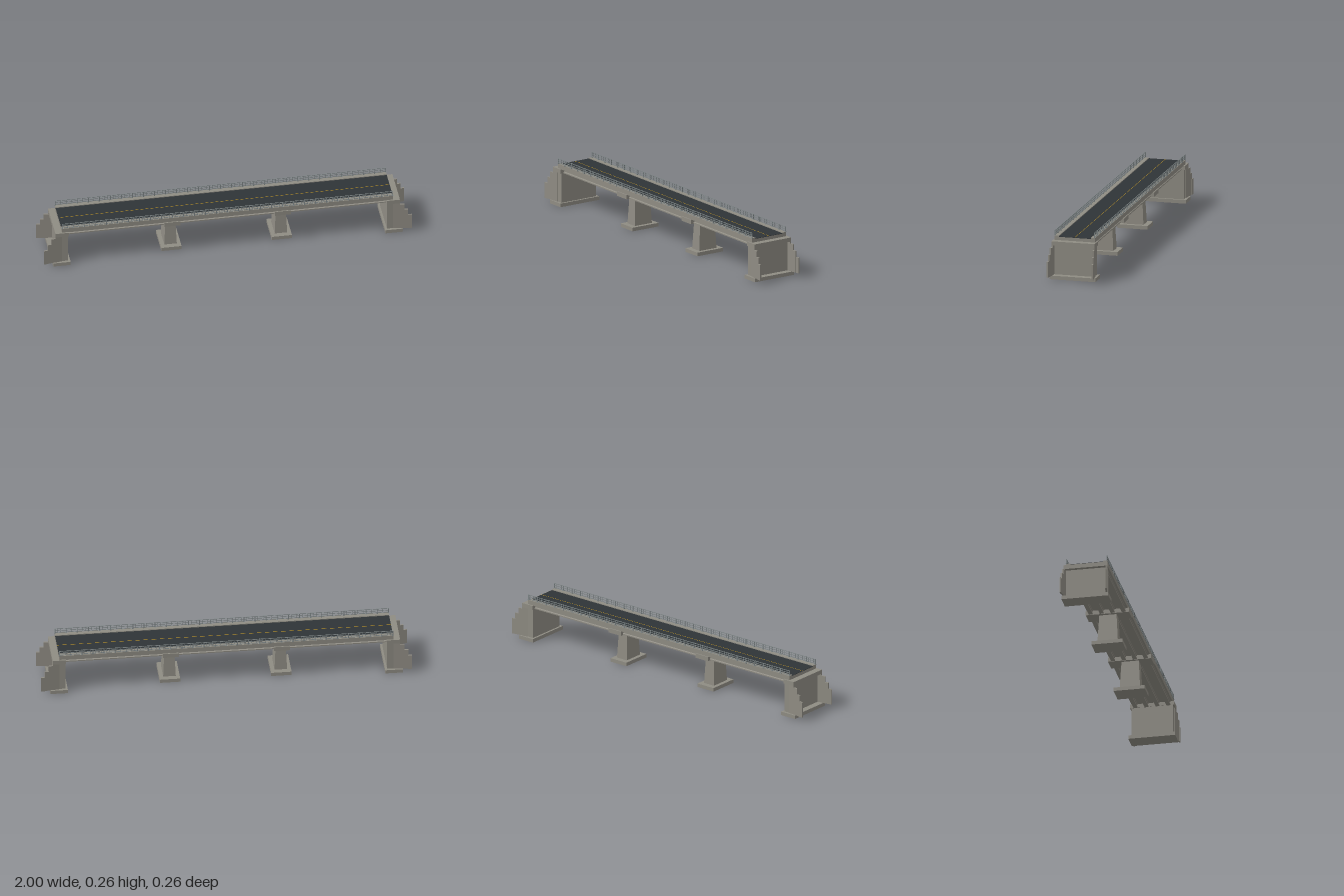
import * as THREE from 'three';

const material = (color) => new THREE.MeshStandardMaterial({ color, flatShading: true });

export function createModel() {
  const bridge = new THREE.Group();
  bridge.name = 'bridge';
  const concrete = material(0x8f8c83);
  const asphalt = material(0x2f3437);
  const steel = material(0x7c8485);
  const paint = material(0xd0a020);

  // Box given by its lower and upper bounds
  function box(name, x0, x1, y0, y1, z0, z1, mat = concrete, parent = bridge) {
    const mesh = new THREE.Mesh(new THREE.BoxGeometry(x1 - x0, y1 - y0, z1 - z0), mat);
    mesh.position.set((x0 + x1) / 2, (y0 + y1) / 2, (z0 + z1) / 2);
    mesh.name = name;
    parent.add(mesh);
    return mesh;
  }

  // Deck, road surface and centre line
  box('deckSlab', -0.9, 0.9, 0.205, 0.224, -0.112, 0.112);
  box('roadSurface', -0.9, 0.9, 0.224, 0.226, -0.089, 0.089, asphalt);
  box('centreLine', -0.9, 0.9, 0.226, 0.2265, -0.001, 0.001, paint);

  // Flanged girders running between the abutments
  const flange = 0.011, web = 0.005, low = 0.183, high = 0.205;
  const section = new THREE.Shape([
    [-flange, low], [flange, low], [flange, low + 0.006], [web, low + 0.009],
    [web, high - 0.006], [flange, high - 0.003], [flange, high],
    [-flange, high], [-flange, high - 0.003], [-web, high - 0.006],
    [-web, low + 0.009], [-flange, low + 0.006],
  ].map(([x, y]) => new THREE.Vector2(x, y)));
  for (const z of [-0.09, -0.03, 0.03, 0.09]) {
    const geometry = new THREE.ExtrudeGeometry(section, { depth: 1.74, bevelEnabled: false });
    geometry.translate(0, 0, -0.87).rotateY(Math.PI / 2);
    const girder = new THREE.Mesh(geometry, concrete);
    girder.position.z = z;
    girder.name = 'girder';
    bridge.add(girder);
  }

  // Kerbs and railings on both sides
  for (const side of [-1, 1]) {
    const z = side * 0.11;
    box('kerb', -0.9, 0.9, 0.224, 0.23, side * 0.1005 - 0.0115, side * 0.1005 + 0.0115);
    const railing = new THREE.Group();
    railing.name = 'railing';
    bridge.add(railing);
    for (const y of [0.235, 0.247, 0.2585]) {
      box('rail', -0.9, 0.9, y - 0.0012, y + 0.0012, z - 0.0015, z + 0.0015, steel, railing);
    }
    for (let i = 0; i <= 120; i++) {
      const x = -0.898 + (i * 1.796) / 120;
      if (i % 4 === 0) {
        box('post', x - 0.002, x + 0.002, 0.23, 0.26, z - 0.002, z + 0.002, steel, railing);
        box('postBase', x - 0.004, x + 0.004, 0.23, 0.2315, z - 0.004, z + 0.004, steel, railing);
      } else {
        box('picket', x - 0.0007, x + 0.0007, 0.235, 0.2585, z - 0.0007, z + 0.0007, steel, railing);
      }
    }
  }

  // Piers: footing, tapered column and cap
  for (const x of [-0.3, 0.3]) {
    const pier = new THREE.Group();
    pier.name = 'pier';
    pier.position.x = x;
    bridge.add(pier);
    box('pierFooting', -0.055, 0.055, 0, 0.02, -0.085, 0.085, concrete, pier);
    const column = box('pierColumn', -0.034, 0.034, 0.02, 0.183, -0.056, 0.056, concrete, pier);
    const p = column.geometry.attributes.position;
    for (let i = 0; i < p.count; i++) {
      if (p.getY(i) > 0) p.setXYZ(i, p.getX(i) * 0.78, p.getY(i), p.getZ(i) * 0.84);
    }
    column.geometry.computeVertexNormals();
    box('pierCap', -0.043, 0.043, 0.181, 0.2055, -0.118, 0.118, concrete, pier);
  }

  // Abutments with stepped, flared wing walls; the second is turned around
  for (const turn of [0, Math.PI]) {
    const abutment = new THREE.Group();
    abutment.name = 'abutment';
    abutment.rotation.y = turn;
    bridge.add(abutment);
    box('abutmentFooting', 0.855, 0.95, 0, 0.02, -0.128, 0.128, concrete, abutment);
    box('abutmentWall', 0.866, 0.915, 0.02, 0.183, -0.113, 0.113, concrete, abutment);
    box('abutmentCap', 0.864, 0.936, 0.183, 0.206, -0.12, 0.12, concrete, abutment);
    const steps = [[0.9, 0.936, 0.183, 0.114], [0.934, 0.96, 0.174, 0.117],
      [0.957, 0.98, 0.141, 0.12], [0.977, 1, 0.107, 0.124]];
    for (const side of [-1, 1]) {
      for (const [x0, x1, top, z] of steps) {
        const wing = box('wingWall', x0, x1, 0.02, top, side * z - 0.004, side * z + 0.004, concrete, abutment);
        wing.rotation.y = -side * 0.13;
      }
    }
  }
  return bridge;
}
